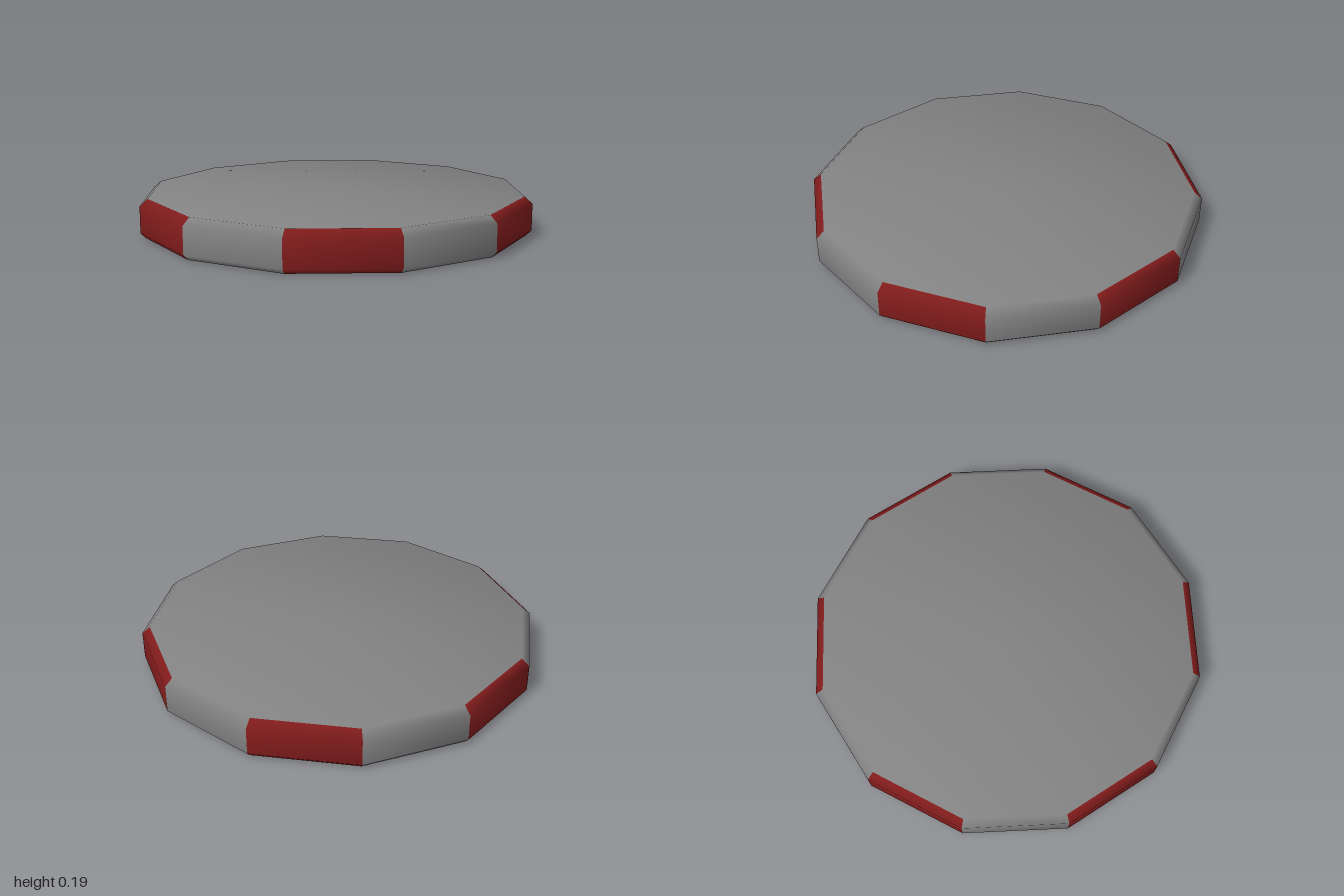
import * as THREE from 'three';

const SIDES = 12;
const STEP = (Math.PI * 2) / SIDES;
const TOP = 0.195;

const paint = (color) => new THREE.MeshStandardMaterial({ color, side: THREE.DoubleSide });

function lathe(name, points, material, start = 0, segments = SIDES) {
  const profile = points.map(([r, y]) => new THREE.Vector2(r, y));
  const mesh = new THREE.Mesh(new THREE.LatheGeometry(profile, segments, start, segments * STEP), material);
  mesh.name = name;
  return mesh;
}

// Leans the normals at the top outward so panel and bevel blend softly
function softenTop(mesh) {
  const { position, normal } = mesh.geometry.attributes;
  const n = new THREE.Vector3();
  for (let i = 0; i < position.count; i++) {
    if (position.getY(i) < TOP - 0.001) continue;
    n.set(position.getX(i) * 0.37, 1, position.getZ(i) * 0.37).normalize();
    normal.setXYZ(i, n.x, n.y, n.z);
  }
  return mesh;
}

export function createModel() {
  const group = new THREE.Group();
  group.name = 'shallowDisc';
  const grey = paint(0x828282);
  const red = paint(0x821c1c);
  const black = paint(0x080808);

  // Rim sections, alternating grey and red around the edge
  const outer = [[0.91, 0.03], [0.915, 0.012], [0.935, 0], [0.975, 0], [1, 0.025], [1, 0.16], [0.96, TOP]];
  const innerLip = [[0.89, 0.157], [0.91, 0.104]];
  for (let i = 0; i < SIDES; i++) {
    const material = i % 2 ? red : grey;
    const section = new THREE.Group();
    section.name = 'rimSection';
    section.add(
      softenTop(lathe('rimOuter', outer, material, i * STEP, 1)),
      lathe('rimInnerLip', innerLip, material, i * STEP, 1)
    );
    group.add(section);
  }

  // Dark belt on the inside of the rim
  group.add(lathe('innerBelt', [[0.91, 0.104], [0.91, 0.03]], black));

  // Top panel and the ceiling of the hollow below it
  group.add(softenTop(lathe('topPanel', [[0.96, TOP], [0, TOP]], grey)));
  group.add(lathe('ceiling', [[0, 0.157], [0.89, 0.157]], grey));

  return group;
}
